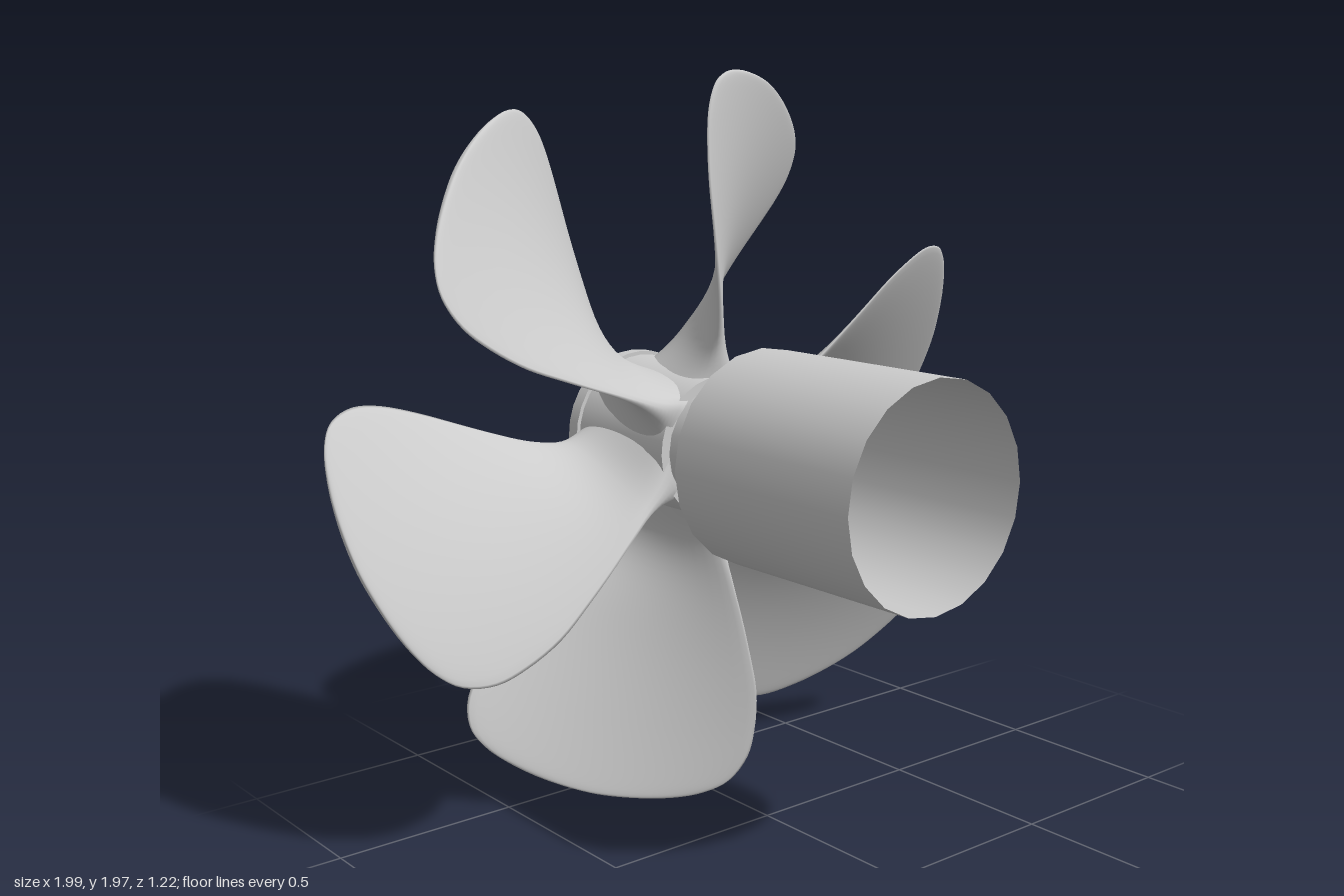
import * as THREE from 'three';

const material = new THREE.MeshStandardMaterial({ color: 0xcccccc });
const openMaterial = new THREE.MeshStandardMaterial({ color: 0xcccccc, side: THREE.DoubleSide });

// Cylinder along z, from front (zFront) to back (zBack)
function zCylinder(name, rFront, rBack, zFront, zBack, sides, open = false) {
  const geometry = new THREE.CylinderGeometry(rFront, rBack, zFront - zBack, sides, 1, open);
  geometry.rotateX(Math.PI / 2);
  const mesh = new THREE.Mesh(geometry, open ? openMaterial : material);
  mesh.name = name;
  mesh.position.z = (zFront + zBack) / 2;
  return mesh;
}

// Flat ring facing along z
function zRing(name, inner, outer, z, sides) {
  const mesh = new THREE.Mesh(new THREE.RingGeometry(inner, outer, sides), openMaterial);
  mesh.name = name;
  mesh.position.z = z;
  mesh.rotation.z = Math.PI / 2;
  return mesh;
}

// Blade outline: radius, leading angle, trailing angle (clockwise from up)
const OUTLINE = [
  [0.17, 0.0, 0.5], [0.22, -0.01, 0.5], [0.28, -0.02, 0.5], [0.37, -0.05, 0.55],
  [0.47, -0.08, 0.61], [0.58, -0.1, 0.66], [0.69, -0.11, 0.695], [0.8, -0.095, 0.71],
  [0.88, -0.07, 0.7], [0.945, -0.02, 0.66], [0.975, 0.04, 0.605],
  [0.991, 0.12, 0.52], [1.0, 0.24, 0.41], [1.003, 0.31, 0.31],
];

// Helical blade lofted from lens-shaped sections, flared where it meets the hub
function bladeGeometry() {
  const Z0 = -0.195, AROUND = 32, ROWS = 52;
  const rows = new THREE.CatmullRomCurve3(OUTLINE.map((p) => new THREE.Vector3(...p))).getPoints(ROWS);
  const positions = [], index = [];
  rows.forEach(({ x: r, y: lead, z: trail }, j) => {
    const pitch = 0.55 + 0.2 * Math.exp(-((r / 0.35) ** 4));
    const tipTaper = Math.sqrt(Math.max(0, 1 - (j / ROWS) ** 10));
    const half = (0.012 + 0.1 * Math.exp(-(r - 0.18) / 0.07)) * tipTaper;
    const norm = Math.hypot(pitch, r);
    for (let i = 0; i < AROUND; i++) {
      const a = (i / AROUND) * Math.PI * 2;
      const theta = (lead + trail) / 2 + ((trail - lead) / 2) * Math.cos(a);
      const h = half * Math.sign(Math.sin(a)) * Math.abs(Math.sin(a)) ** 0.8;
      const angle = theta + (h * pitch) / (norm * r);
      const z = Z0 - pitch * theta + (h * r) / norm;
      positions.push(r * Math.sin(angle), r * Math.cos(angle), z);
      if (j < ROWS) {
        const p = j * AROUND + i, q = j * AROUND + ((i + 1) % AROUND);
        index.push(p, p + AROUND, q, q, p + AROUND, q + AROUND);
      }
    }
  });
  const geometry = new THREE.BufferGeometry();
  geometry.setAttribute('position', new THREE.Float32BufferAttribute(positions, 3));
  geometry.setIndex(index);
  geometry.computeVertexNormals();
  return geometry;
}

export function createModel() {
  const propeller = new THREE.Group();
  propeller.name = 'propeller';
  propeller.position.y = 1;

  // Open sleeve with a ring-shaped back wall, and the narrower shaft
  propeller.add(zCylinder('sleeve', 0.285, 0.285, 0.61, -0.02, 20, true));
  propeller.add(zRing('sleeveBackWall', 0.165, 0.285, -0.02, 20));
  propeller.add(zCylinder('shaft', 0.165, 0.165, -0.02, -0.2, 20, true));

  // Bored hub with end plate and centre pin
  propeller.add(zCylinder('hub', 0.19, 0.21, -0.2, -0.55, 32, true));
  propeller.add(zRing('hubFront', 0.125, 0.19, -0.2, 32));
  propeller.add(zCylinder('hubBore', 0.125, 0.125, -0.2, -0.55, 32, true));
  propeller.add(zCylinder('endPlate', 0.22, 0.22, -0.545, -0.583, 32));
  propeller.add(zCylinder('centrePin', 0.068, 0.068, -0.5, -0.593, 20));

  // Six blades and six hexagonal bolts
  const blade = bladeGeometry();
  for (let i = 0; i < 6; i++) {
    const angle = (i * Math.PI) / 3;
    const mesh = new THREE.Mesh(blade, material);
    mesh.name = `blade${i + 1}`;
    mesh.rotation.z = angle;
    propeller.add(mesh);

    const bolt = zCylinder(`bolt${i + 1}`, 0.037, 0.037, -0.58, -0.612, 6);
    bolt.geometry = bolt.geometry.toNonIndexed();
    bolt.geometry.computeVertexNormals();
    bolt.position.x = 0.148 * Math.cos(angle);
    bolt.position.y = 0.148 * Math.sin(angle);
    propeller.add(bolt);
  }

  const model = new THREE.Group();
  model.name = 'model';
  model.add(propeller);
  return model;
}
